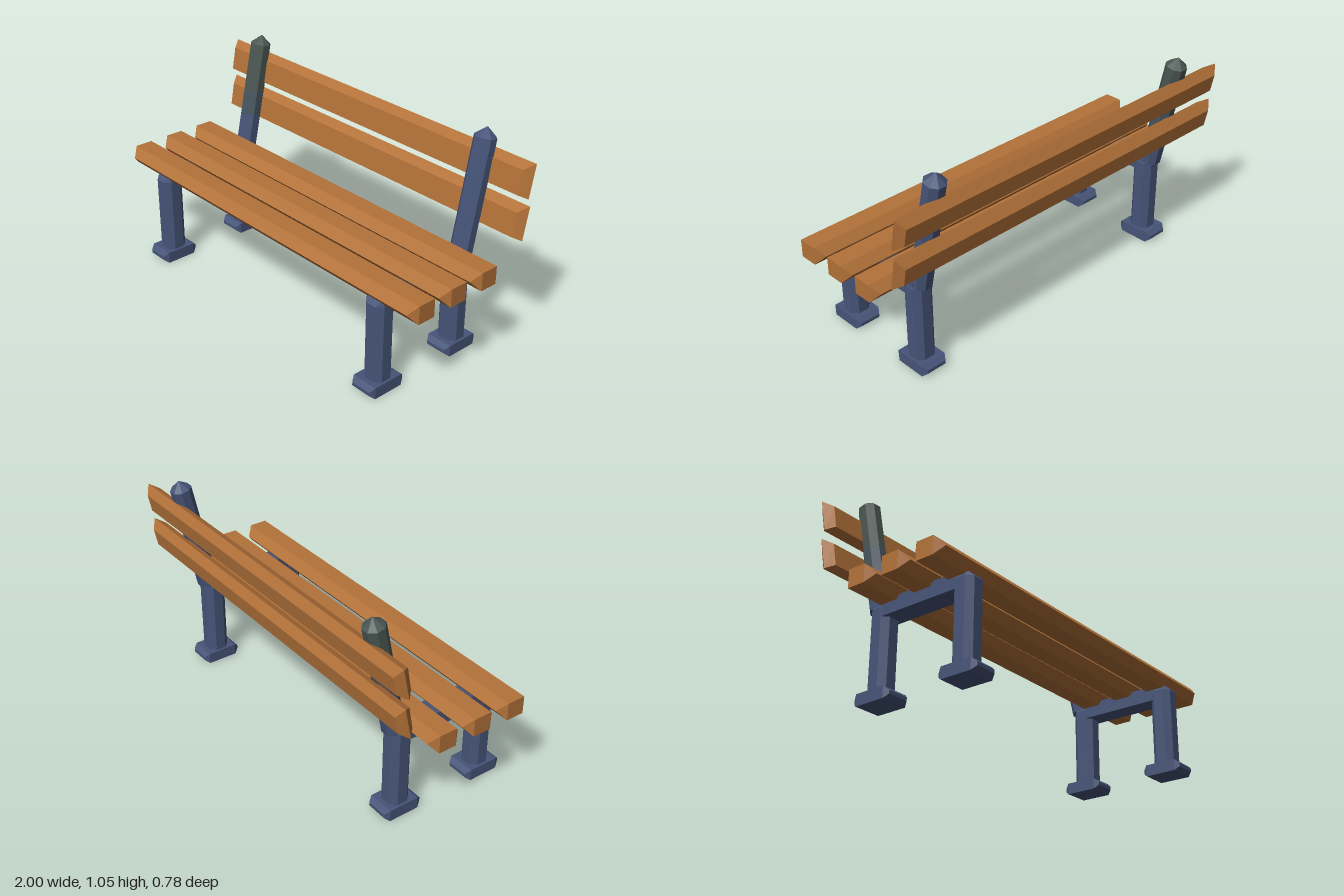
import * as THREE from 'three';
import { ConvexGeometry } from 'three/addons/geometries/ConvexGeometry.js';

const paint = (name, color) => {
  const m = new THREE.MeshStandardMaterial({ color, flatShading: true });
  m.name = name;
  return m;
};

export function createModel() {
  const wood = paint('wood', 0xb37239);
  const iron = paint('blue iron', 0x465478);
  const fadedIron = paint('faded iron', 0x47555f);
  const wornIron = paint('worn iron', 0x4a5652);

  const bench = new THREE.Group();
  bench.name = 'bench';

  const add = (parent, name, geometry, material, x = 0, y = 0, z = 0) => {
    const mesh = new THREE.Mesh(geometry, material);
    mesh.name = name;
    mesh.position.set(x, y, z);
    parent.add(mesh);
    return mesh;
  };
  const hull = (points) => new ConvexGeometry(points.map((p) => new THREE.Vector3(...p)));
  const signs = [-1, 1];

  // Corner points of a box, mirrored in x and z
  const corners = (x, y, z) => signs.flatMap((a) => signs.map((b) => [a * x, y, b * z]));

  // Seat slats: flat top and bottom, ridged long sides
  const seatSlat = hull([...corners(1, 0.044, 0.045), ...corners(1, -0.044, 0.045), ...corners(0.965, 0, 0.083)]);
  for (const z of [0.272, 0.082, -0.108]) add(bench, 'seatSlat', seatSlat, wood, 0, 0.491, z);

  // Back slats: leaning, ridged along top and bottom; [x, y, z] of each long edge
  const backEdges = [
    [1, 0.08, 0], [1, -0.08, 0],
    [0.967, 0.045, 0.04], [0.967, -0.069, 0.037],
    [0.967, 0.042, -0.035], [0.967, -0.047, -0.036],
  ];
  const backSlat = hull(backEdges.flatMap(([x, y, z]) => signs.map((s) => [s * x, y, z])));
  const lean = THREE.MathUtils.degToRad(-12);
  for (const [y, z] of [[0.869, -0.344], [0.673, -0.327]]) {
    add(bench, 'backSlat', backSlat, wood, 0, y, z).rotation.x = lean;
  }

  // Leg: chamfered square column, cut in at the top
  const column = (y) => [...corners(0.054, y, 0.026), ...corners(0.026, y, 0.054)];
  const leg = hull([...column(0.03), ...column(0.437), ...corners(0.044, 0.466, 0.026)]);

  // Foot: block with bevelled ends
  const foot = hull([
    ...corners(0.067, 0, 0.077), ...corners(0.067, 0.056, 0.077),
    ...corners(0.052, 0.019, 0.1), ...corners(0.052, 0.036, 0.1),
  ]);

  const beam = new THREE.BoxGeometry(0.102, 0.075, 0.52);
  const radius = 0.0485 / Math.cos(Math.PI / 8);
  const postPiece = (length) =>
    new THREE.CylinderGeometry(radius, radius, length, 8, 1, false, Math.PI / 8);
  const cap = new THREE.ConeGeometry(radius, 0.045, 8, 1, false, Math.PI / 8);

  for (const side of signs) {
    const frame = new THREE.Group();
    frame.name = side > 0 ? 'leftFrame' : 'rightFrame';
    frame.position.x = side * 0.754;
    bench.add(frame);

    for (const [name, z] of [['front', 0.294], ['back', -0.174]]) {
      add(frame, name + 'Leg', leg, iron, 0, 0, z);
      add(frame, name + 'Foot', foot, iron, 0, 0, z);
    }
    add(frame, 'seatBeam', beam, iron, 0, 0.4295, 0.06);

    // Leaning back post with a pointed cap; the right one is worn towards the top
    const post = new THREE.Group();
    post.name = 'backPost';
    post.position.set(0, 0.447, -0.197);
    post.rotation.x = lean;
    frame.add(post);
    const worn = side < 0;
    const pieces = [
      [0, 0.2, iron],
      [0.2, 0.32, worn ? fadedIron : iron],
      [0.32, 0.569, worn ? wornIron : iron],
    ];
    for (const [from, to, material] of pieces) {
      add(post, 'postSection', postPiece(to - from), material, 0, (from + to) / 2, 0);
    }
    add(post, 'postCap', cap, worn ? wornIron : iron, 0, 0.5915, 0);
  }
  return bench;
}
